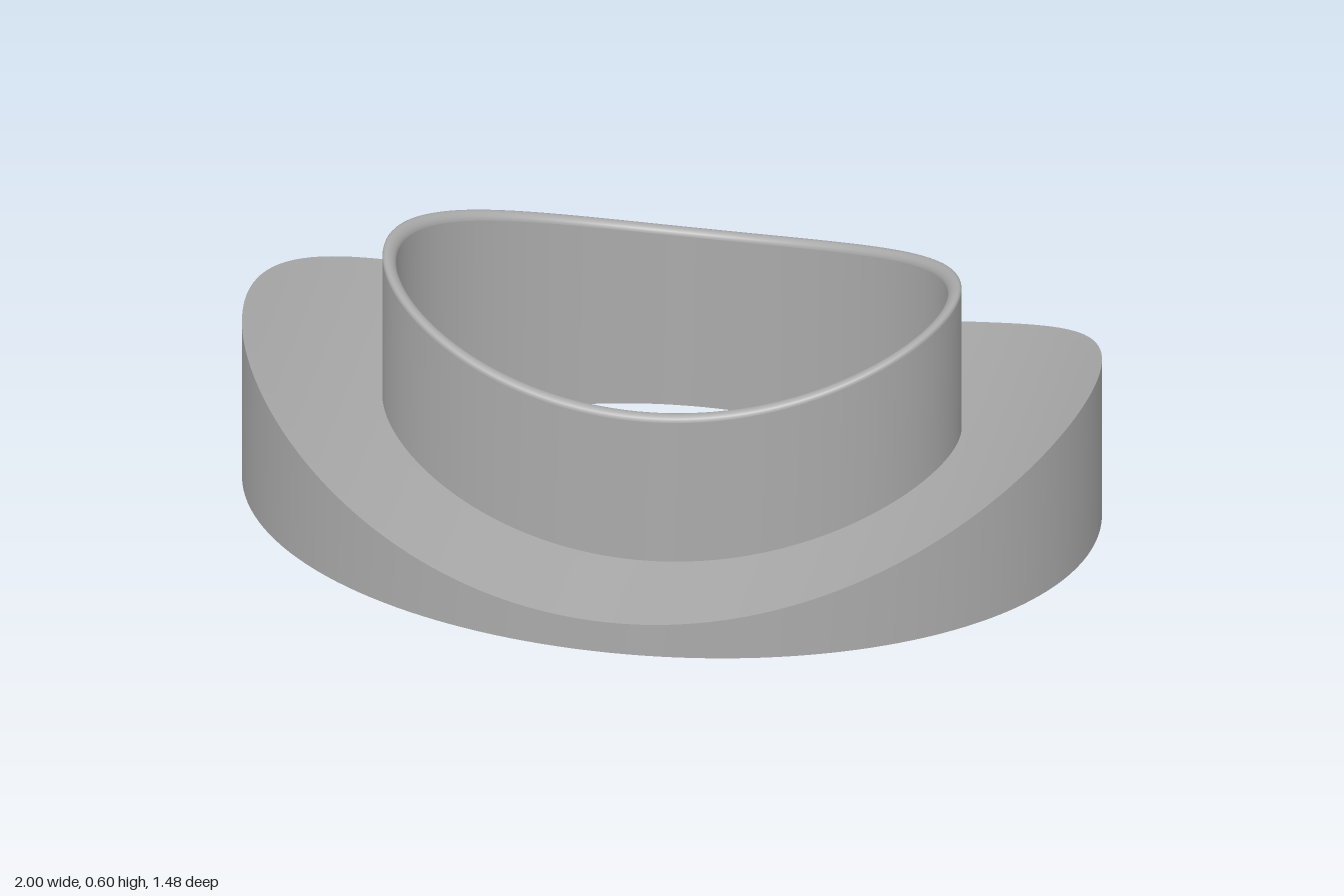
import * as THREE from 'three';

const SEG = 160;
const R = 1.64; // radius of the cylinder the saddle fits
const saddle = (x) => 0.08 + R - Math.sqrt(R * R - x * x);
const BASE = [1, 0.74], OUTER = [0.675, 0.444], INNER = [0.643, 0.411];
const mix = (p, q, t) => [p[0] + (q[0] - p[0]) * t, p[1] + (q[1] - p[1]) * t];

// Closed elliptical band: ring(t) gives [[radiusX, radiusZ], height(x)] for t from 0 to 1.
function band(rows, ring) {
  const pos = [], idx = [];
  for (let j = 0; j <= rows; j++) {
    const [[a, b], height] = ring(j / rows);
    for (let i = 0; i < SEG; i++) {
      const th = (i / SEG) * Math.PI * 2;
      const x = a * Math.cos(th);
      pos.push(x, height(x), b * Math.sin(th));
      if (j === rows) continue;
      const n = (i + 1) % SEG, k = j * SEG, m = k + SEG;
      idx.push(k + i, m + i, k + n, k + n, m + i, m + n);
    }
  }
  const g = new THREE.BufferGeometry();
  g.setAttribute('position', new THREE.Float32BufferAttribute(pos, 3));
  g.setIndex(idx);
  g.computeVertexNormals();
  return g;
}

export function createModel() {
  const group = new THREE.Group();
  const grey = new THREE.MeshStandardMaterial({ color: 0xaaaaaa });
  grey.name = 'grey';
  const add = (name, geometry) => {
    const mesh = new THREE.Mesh(geometry, grey);
    mesh.name = name;
    group.add(mesh);
  };

  const shoulder = 0.369, rimHeight = 0.014; // collar height above the saddle, rounded lip
  const lip = (x) => saddle(x) + shoulder;

  // Flange
  add('flangeWall', band(1, (t) => [BASE, (x) => saddle(x) * t]));
  add('flangeSaddle', band(10, (t) => [mix(BASE, OUTER, t), saddle]));
  add('flangeUnderside', band(1, (t) => [mix(INNER, BASE, t), () => 0]));

  // Collar with a straight bore through the flange
  add('collarWall', band(1, (t) => [OUTER, (x) => saddle(x) + shoulder * t]));
  add('collarRim', band(10, (t) => {
    const s = t * Math.PI;
    return [mix(OUTER, INNER, (1 - Math.cos(s)) / 2), (x) => lip(x) + rimHeight * Math.sin(s)];
  }));
  add('bore', band(1, (t) => [INNER, (x) => lip(x) * (1 - t)]));

  return group;
}
